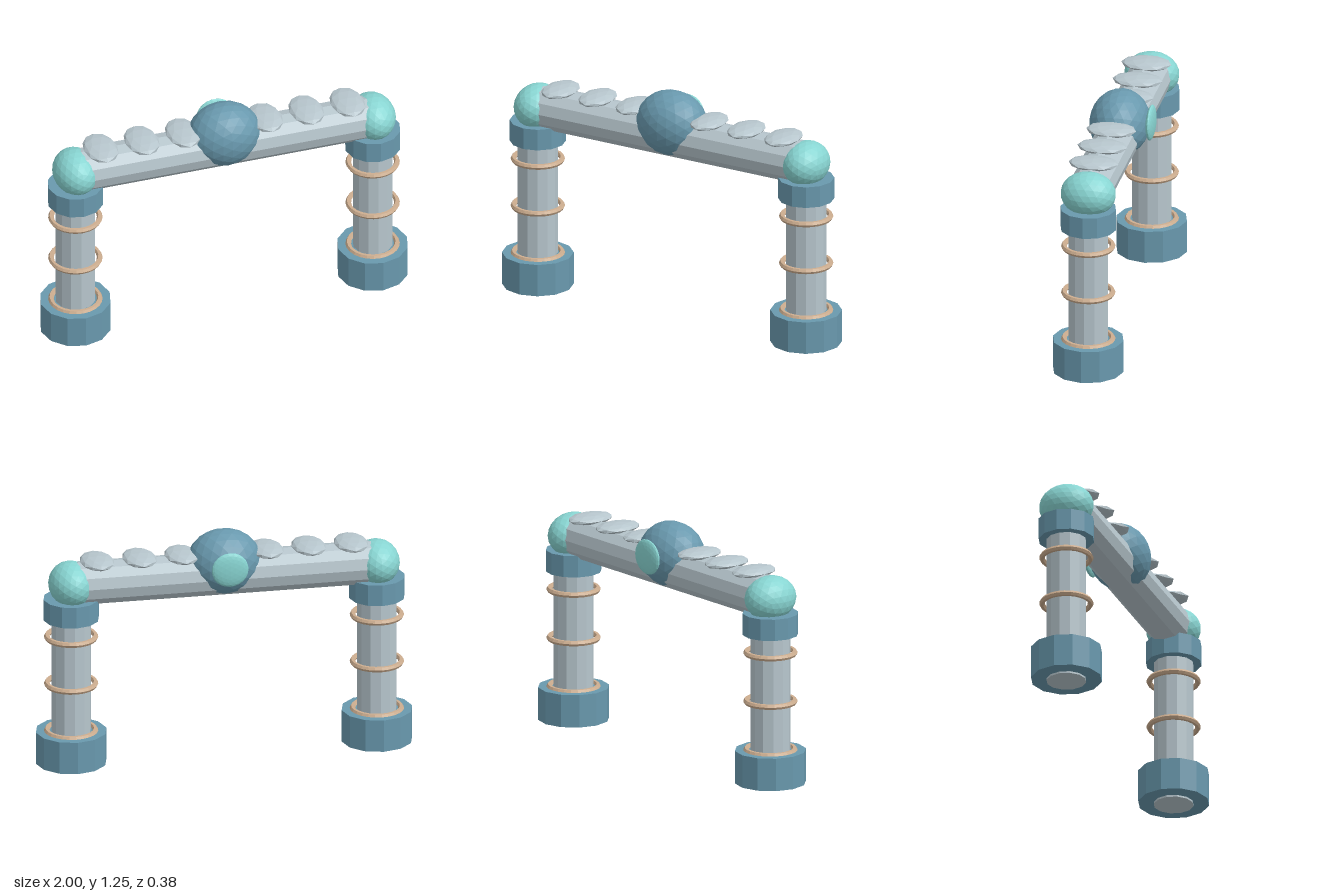
import * as THREE from 'three';

const flat = (name, color) => {
  const m = new THREE.MeshStandardMaterial({ color, flatShading: true });
  m.name = name;
  return m;
};

export function createModel() {
  const model = new THREE.Group();
  model.name = 'archway';
  const steel = flat('pale steel', 0xb7c6cd);
  const blue = flat('slate blue', 0x6999ae);
  const teal = flat('teal', 0x88d5d2);
  const bronze = flat('bronze', 0xcdae90);

  const add = (parent, name, geometry, material, x, y, z) => {
    const mesh = new THREE.Mesh(geometry, material);
    mesh.name = name;
    mesh.position.set(x, y, z);
    parent.add(mesh);
    return mesh;
  };
  // Twelve-sided upright drum between two heights
  const drum = (parent, name, r, y0, y1, material) =>
    add(parent, name, new THREE.CylinderGeometry(r, r, y1 - y0, 12), material, 0, (y0 + y1) / 2, 0);
  // Faceted ellipsoid
  const blob = (parent, name, radii, detail, material, x, y, z) =>
    add(parent, name, new THREE.IcosahedronGeometry(1, detail).scale(...radii), material, x, y, z);

  // Pillars with base, collar, rings and end joint
  for (const [side, label] of [[1, 'left'], [-1, 'right']]) {
    const pillar = new THREE.Group();
    pillar.name = label + 'Pillar';
    pillar.position.x = side * 0.8125;
    model.add(pillar);
    drum(pillar, 'column', 0.105, 0, 0.9, steel);
    drum(pillar, 'base', 0.1875, 0.01, 0.185, blue);
    drum(pillar, 'collar', 0.147, 0.81, 0.925, blue);
    for (const y of [0.185, 0.448, 0.71]) {
      const ring = new THREE.TorusGeometry(0.127, 0.015, 6, 24).rotateX(Math.PI / 2);
      add(pillar, 'ring', ring, bronze, 0, y, 0);
    }
    blob(pillar, 'joint', [0.119, 0.118, 0.146], 3, teal, 0, 1.005, 0);
  }

  // Crossbeam
  const beam = new THREE.CylinderGeometry(0.115, 0.115, 1.56, 12).rotateZ(Math.PI / 2);
  add(model, 'beam', beam, steel, 0, 1.005, 0);

  // Flattened pads along the top of the beam
  for (const i of [-3, -2, -1, 1, 2, 3]) {
    blob(model, 'pad', [0.09, 0.027, 0.133], 1, steel, i * 0.225, 1.121, 0);
  }

  // Central boss with a disc on its back
  blob(model, 'boss', [0.197, 0.175, 0.159], 3, blue, 0, 1.07, 0);
  blob(model, 'backDisc', [0.098, 0.094, 0.022], 3, teal, 0, 1.082, -0.165);

  return model;
}
